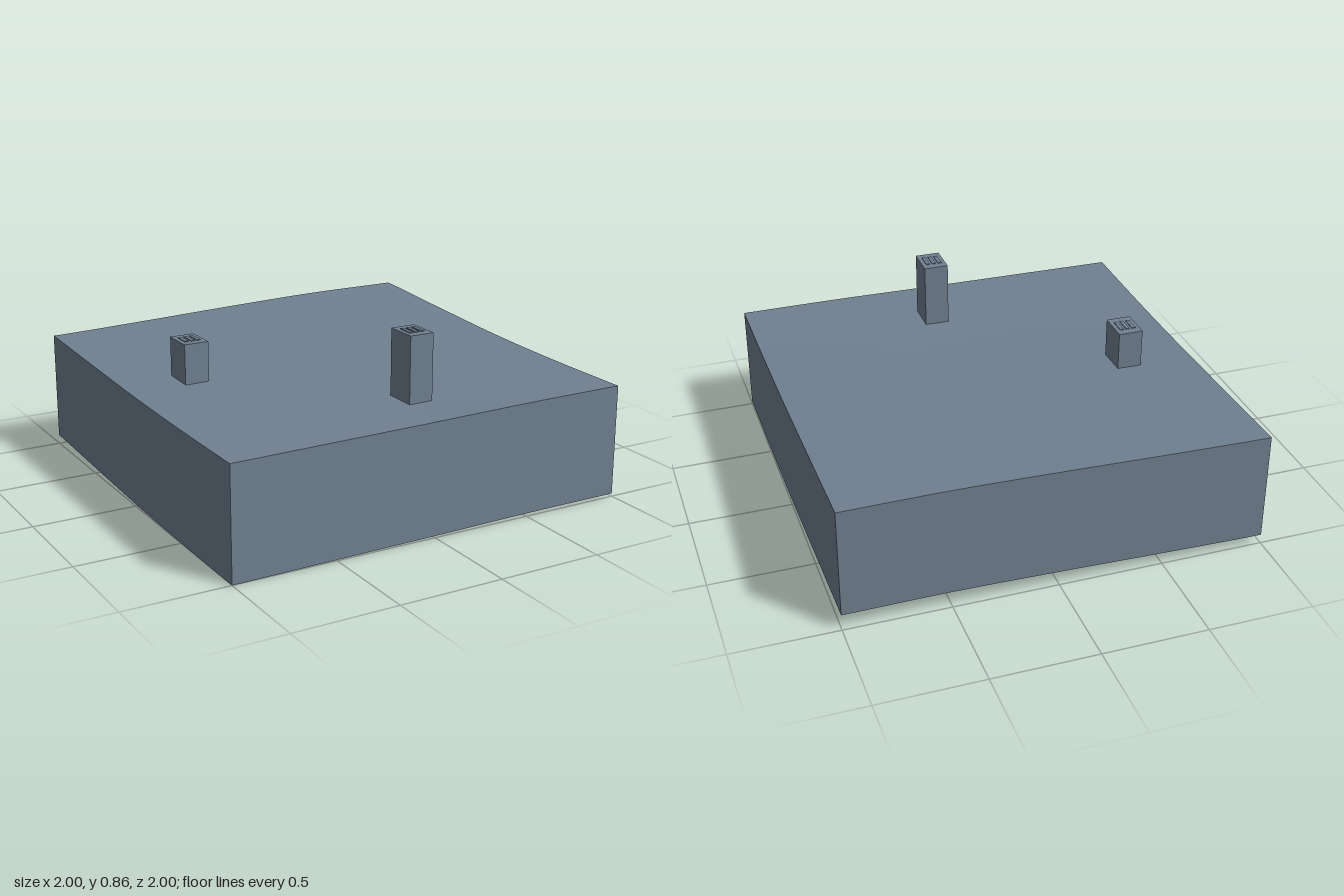
import * as THREE from 'three';

const slate = new THREE.MeshStandardMaterial({ color: 0x708090, side: THREE.DoubleSide });
slate.name = 'slate grey';

// Evenly spaced samples over -1..1, joined by a smooth curve
const profile = (values) => {
  const curve = new THREE.SplineCurve(values.map((v, i) => new THREE.Vector2(i, v)));
  return (t) => curve.getPoint(THREE.MathUtils.clamp((t + 1) / 2, 0, 1)).y;
};
const frontEdge = profile([0.535, 0.539, 0.543, 0.549, 0.549]);
const backEdge = profile([0.58, 0.592, 0.607, 0.618, 0.616]);
const slope = profile([1, 0.73, 0.46, 0.21, 0.06, 0, 0]); // back to front
const groundHeight = (x, z) => THREE.MathUtils.lerp(frontEdge(x), backEdge(x), slope(z));

// Gently sloping ground with side skirts, open underneath
function makeGround() {
  const depth = 0.533;
  const geo = new THREE.BoxGeometry(2, depth, 2, 20, 1, 20);
  const bottom = geo.groups[3];
  const index = Array.from(geo.index.array);
  index.splice(bottom.start, bottom.count);
  geo.setIndex(index);
  geo.clearGroups();
  const pos = geo.attributes.position;
  for (let i = 0; i < pos.count; i++) {
    const top = groundHeight(pos.getX(i), pos.getZ(i));
    pos.setY(i, pos.getY(i) > 0 ? top : top - depth);
  }
  geo.computeVertexNormals();
  const mesh = new THREE.Mesh(geo, slate);
  mesh.name = 'ground';
  return mesh;
}

// Rectangular chimney with three narrow flue caps
function makeChimney(name, x, z, base, top) {
  const group = new THREE.Group();
  group.name = name;
  group.position.set(x, 0, z);
  const stack = new THREE.Mesh(new THREE.BoxGeometry(0.12, top - base, 0.16), slate);
  stack.name = 'stack';
  stack.position.y = (top + base) / 2;
  group.add(stack);
  for (const dx of [-0.03, 0, 0.03]) {
    const cap = new THREE.Mesh(new THREE.BoxGeometry(0.018, 0.005, 0.08), slate);
    cap.name = 'flueCap';
    cap.position.set(dx, top + 0.0015, 0);
    group.add(cap);
  }
  return group;
}

export function createModel() {
  const model = new THREE.Group();
  model.name = 'groundWithChimneys';
  model.add(
    makeGround(),
    makeChimney('frontChimney', 0.08, 0.665, 0.54, 0.861),
    makeChimney('backChimney', -0.668, -0.083, 0.545, 0.741),
  );
  return model;
}
